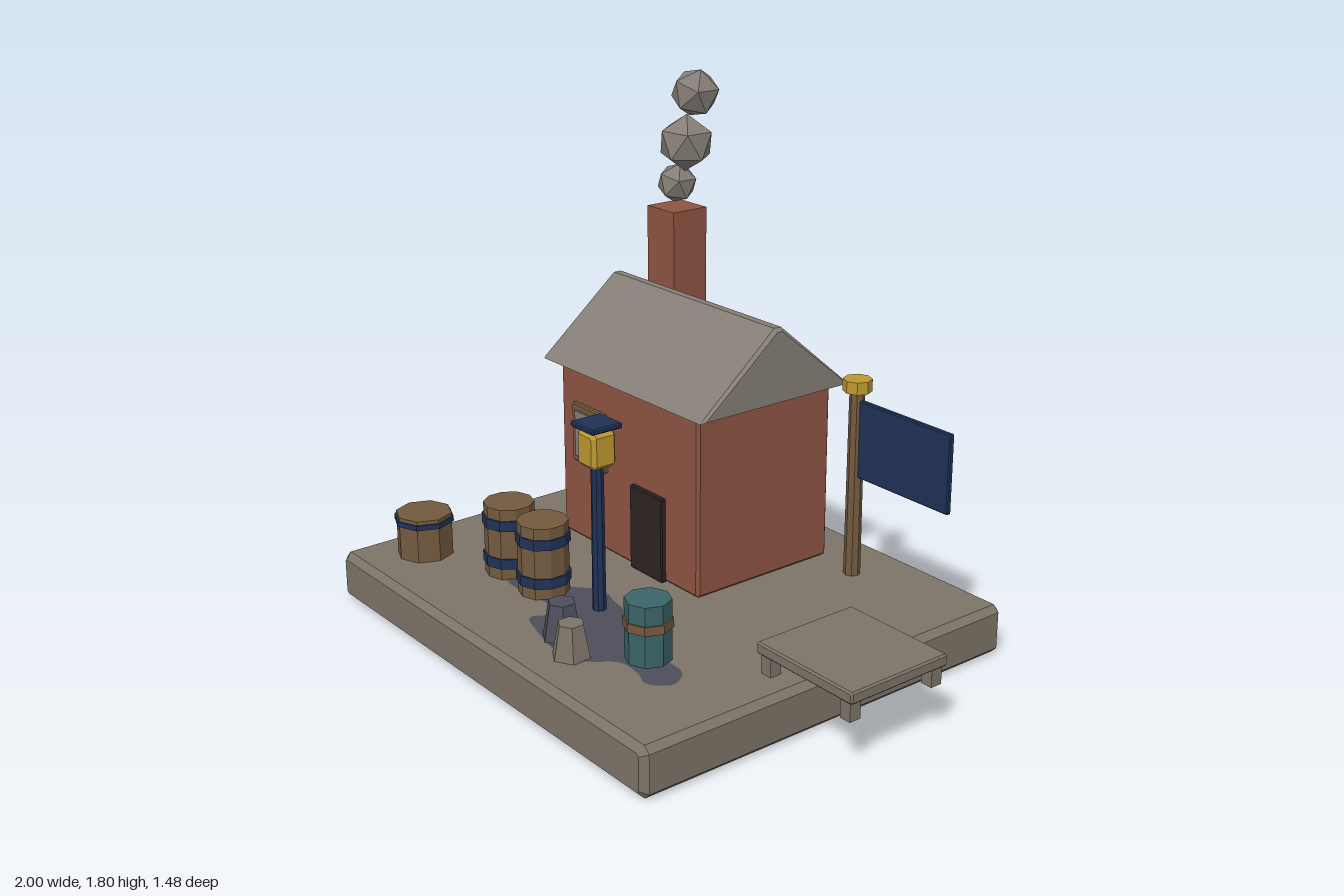
import * as THREE from 'three';

const mat = (name, color) => {
  const m = new THREE.MeshStandardMaterial({ color, flatShading: true });
  m.name = name;
  return m;
};

export function createModel() {
  const M = {
    stone: mat('stone', 0x7d7468),
    grey: mat('roof grey', 0x857e76),
    brick: mat('brick', 0x8e5442),
    wood: mat('wood', 0x735a3f),
    navy: mat('navy', 0x203257),
    gold: mat('gold', 0xbd972f),
    dark: mat('dark door', 0x2d2422),
    teal: mat('teal', 0x3a6466),
    damp: mat('damp slate', 0x4d4e5b),
  };
  const model = new THREE.Group();
  const GROUND = 0.172;

  const add = (name, geo, material, x = 0, y = 0, z = 0, parent = model) => {
    const mesh = new THREE.Mesh(geo, material);
    mesh.name = name;
    mesh.position.set(x, y, z);
    parent.add(mesh);
    return mesh;
  };
  const group = (name, x, y, z) => {
    const g = new THREE.Group();
    g.name = name;
    g.position.set(x, y, z);
    model.add(g);
    return g;
  };

  // Box with every edge chamfered by c
  const chamferBox = (w, h, d, c) => {
    const a = w / 2 - c, b = h / 2 - c, k = c * 0.4;
    const s = new THREE.Shape([
      [-a + k, -b], [a - k, -b], [a, -b + k], [a, b - k],
      [a - k, b], [-a + k, b], [-a, b - k], [-a, -b + k],
    ].map(([x, y]) => new THREE.Vector2(x, y)));
    const g = new THREE.ExtrudeGeometry(s, {
      depth: d - 2 * c, bevelEnabled: true, bevelSize: c, bevelThickness: c, bevelSegments: 1,
    });
    return g.translate(0, 0, -d / 2 + c);
  };
  // Place a chamfered box by its limits on each axis
  const block = (name, material, [x0, x1], [y0, y1], [z0, z1], c = 0.006, parent = model) =>
    add(name, chamferBox(x1 - x0, y1 - y0, z1 - z0, c), material,
      (x0 + x1) / 2, (y0 + y1) / 2, (z0 + z1) / 2, parent);
  const cyl = (rt, rb, h, n) => new THREE.CylinderGeometry(rt, rb, h, n).translate(0, h / 2, 0);

  // Ground slab
  block('groundSlab', M.stone, [-1, 0.73], [0, GROUND], [-0.742, 0.742], 0.022);

  // House walls, door and window
  block('houseWalls', M.brick, [-0.683, 0.075], [GROUND, 0.805], [-0.56, 0.015], 0.01);
  block('door', M.dark, [-0.27, -0.095], [GROUND, 0.475], [0.005, 0.033], 0.004);
  block('windowFrame', M.wood, [-0.6, -0.415], [0.465, 0.68], [0.005, 0.032], 0.005);
  block('windowPane', M.grey, [-0.578, -0.435], [0.488, 0.657], [0.03, 0.037], 0.002);

  // Solid gabled roof, extruded along x
  const gable = new THREE.Shape();
  gable.moveTo(-0.305, 0.812);
  gable.lineTo(0.305, 0.812);
  gable.lineTo(0.01, 1.053);
  gable.lineTo(-0.01, 1.053);
  gable.closePath();
  const roof = new THREE.ExtrudeGeometry(gable, {
    depth: 0.861, bevelEnabled: true, bevelSize: 0.012, bevelThickness: 0.012, bevelSegments: 1,
  });
  roof.translate(0, 0, -0.4305).rotateY(Math.PI / 2);
  add('roof', roof, M.grey, -0.308, 0, -0.274);

  // Chimney and smoke puffs
  add('chimney', new THREE.BoxGeometry(0.148, 0.51, 0.145), M.brick, -0.581, 1.055, -0.42);
  [[-0.58, 1.394, 0.073, 0.3], [-0.53, 1.543, 0.1, 0.5], [-0.48, 1.722, 0.087, 0.2]]
    .forEach(([x, y, r, turn], i) => {
      const puff = add(`smokePuff${i + 1}`, new THREE.IcosahedronGeometry(r, 0), M.grey, x, y, -0.42);
      puff.rotation.z = turn;
    });

  // Barrels with hoops: [hoop height, hoop thickness]
  const barrel = (name, x, z, r, h, sides, body, hoopMat, hoops) => {
    const g = group(name, x, GROUND, z);
    add('barrelBody', cyl(r, r, h, sides), body, 0, 0, 0, g);
    hoops.forEach(([y, t]) => add('hoop', cyl(r * 1.07, r * 1.07, t, sides), hoopMat, 0, y, 0, g));
  };
  for (const x of [-0.505, -0.305])
    barrel('tallBarrel', x, 0.365, 0.086, 0.253, 10, M.wood, M.navy, [[0.04, 0.036], [0.178, 0.036]]);
  barrel('shortBarrel', -0.815, 0.515, 0.098, 0.153, 8, M.wood, M.navy, [[0.122, 0.018]]);
  barrel('tealBarrel', 0.3, 0.392, 0.075, 0.205, 8, M.teal, M.wood, [[0.112, 0.03]]);

  // Lamp post
  const lamp = group('lampPost', -0.071, 0, 0.308);
  add('lampPole', cyl(0.021, 0.023, 0.52, 8), M.navy, 0, GROUND, 0, lamp);
  block('lantern', M.gold, [-0.047, 0.047], [0.675, 0.797], [-0.047, 0.047], 0.013, lamp);
  add('lampNeck', cyl(0.03, 0.03, 0.02, 8), M.navy, 0, 0.79, 0, lamp);
  block('lampCap', M.navy, [-0.06, 0.06], [0.803, 0.822], [-0.06, 0.06], 0.005, lamp);

  // Tapered hexagonal stones
  add('darkStone', cyl(0.046, 0.068, 0.123, 6), M.damp, 0.015, GROUND, 0.515);
  add('lightStone', cyl(0.043, 0.065, 0.113, 6), M.stone, 0.138, GROUND, 0.567);

  // Flagpole and flag
  const flag = group('flagpole', 0.24, 0, -0.525);
  add('pole', cyl(0.026, 0.029, 0.67, 8), M.wood, 0, GROUND, 0, flag);
  add('poleCap', cyl(0.049, 0.049, 0.042, 8), M.gold, 0, 0.828, 0, flag);
  block('flagCloth', M.navy, [0.02, 0.43], [0.528, 0.8], [-0.01, 0.01], 0.004, flag);

  // Low table overhanging the slab edge
  block('tableTop', M.stone, [0.578, 0.995], [0.237, 0.277], [-0.198, 0.195], 0.006);
  for (const x of [0.614, 0.96])
    for (const z of [-0.168, 0.165])
      add('tableLeg', new THREE.BoxGeometry(0.042, 0.066, 0.042), M.stone, x, 0.207, z);

  // Damp patches lying on the slab
  const patch = (name, points, y) => {
    const curve = new THREE.CatmullRomCurve3(points.map(([x, z]) => new THREE.Vector3(x, -z, 0)), true);
    const shape = new THREE.Shape(curve.getPoints(60).slice(0, -1).map(p => new THREE.Vector2(p.x, p.y)));
    add(name, new THREE.ShapeGeometry(shape).rotateX(-Math.PI / 2), M.damp, 0, y, 0);
  };
  patch('dampPatch', [
    [-0.45, 0.42], [-0.3, 0.43], [-0.19, 0.42], [-0.13, 0.45], [-0.16, 0.52], [-0.06, 0.56],
    [0.1, 0.59], [0.2, 0.56], [0.27, 0.48], [0.36, 0.48], [0.43, 0.5], [0.485, 0.44],
    [0.44, 0.37], [0.36, 0.36], [0.28, 0.32], [0.12, 0.31], [0.03, 0.26], [-0.08, 0.24],
    [-0.18, 0.22], [-0.27, 0.29], [-0.45, 0.32],
  ], GROUND + 0.002);
  patch('dampPatchUnderTable', [[0.6, 0.01], [0.64, 0.08], [0.7, 0.09], [0.7, -0.08], [0.64, -0.07]], GROUND + 0.002);

  return model;
}
